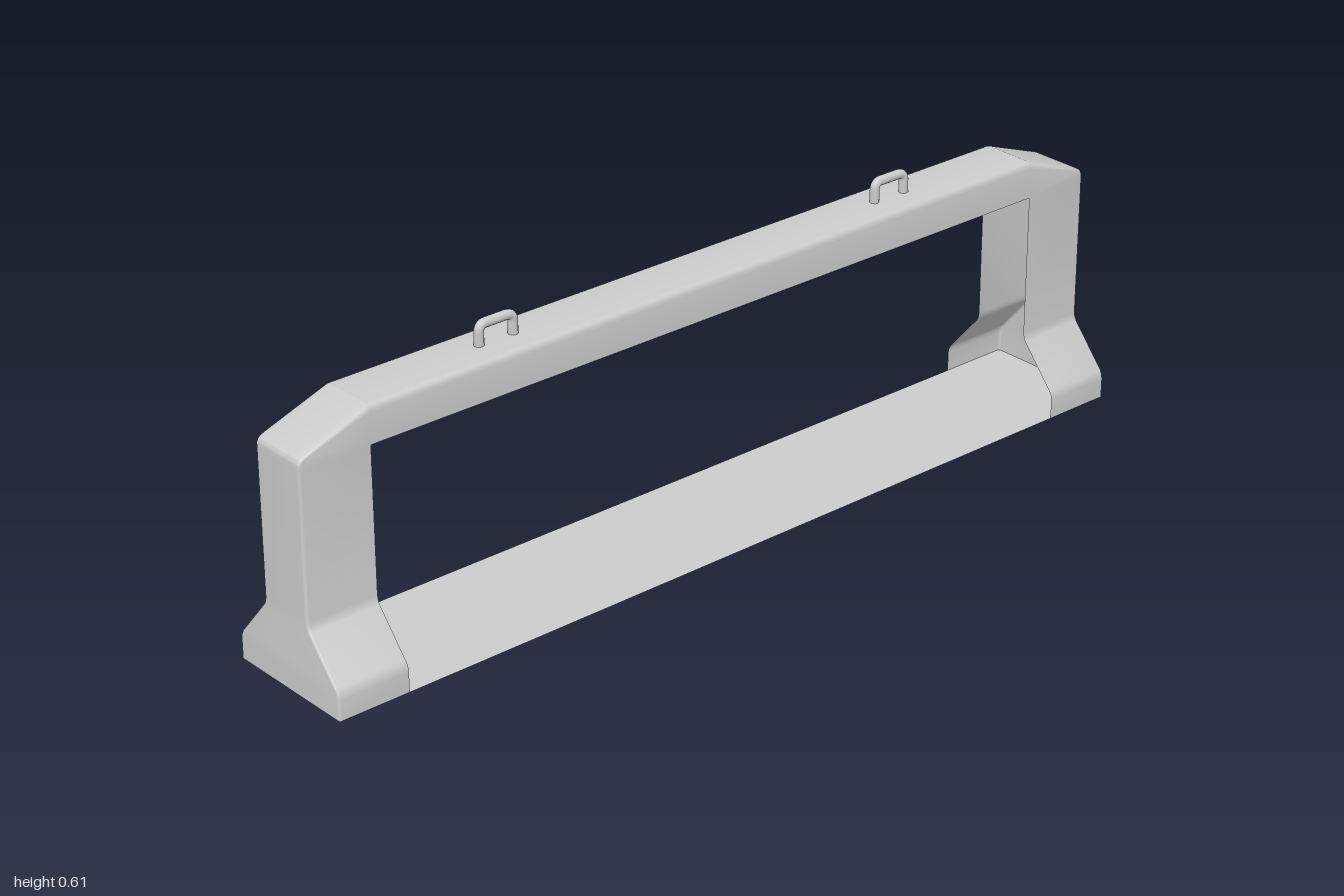
import * as THREE from 'three';
import { toCreasedNormals } from 'three/addons/utils/BufferGeometryUtils.js';

const material = new THREE.MeshStandardMaterial({ color: 0xcccccc, side: THREE.DoubleSide });
const INNER = 0.842, UNDER = 0.474, DEPTH = 0.0655;

// Stations along the left half: outer x/y, inner x/y, half depth, corner radius
function halfStations() {
  const flare = [
    [0, 0.153], [0.042, 0.153], [0.052, 0.1513], [0.06, 0.1475], [0.066, 0.1423],
    [0.143, 0.0765], [0.149, 0.0713], [0.157, 0.0675], [0.167, DEPTH], [UNDER, DEPTH],
  ];
  const shoulder = [[-1, 0.484], [-0.9985, 0.489], [-0.996, 0.493], [-0.992, 0.496], [-0.986, 0.4995]];
  return [
    ...flare.map(([y, d]) => ({ ox: -1, oy: y, ix: -INNER, iy: y, d, r: 0.006 })),
    ...shoulder.map(([x, y], i) => ({ ox: x, oy: y, ix: -INNER, iy: UNDER, d: DEPTH, r: 0.006 + i * 0.0015 })),
    { ox: -INNER, oy: 0.553, ix: -INNER, iy: UNDER, d: DEPTH, r: 0.013 },
  ];
}

// Open channel section running from the front inner edge, over the outside, to the back inner edge
function section({ ox, oy, ix, iy, d, r }) {
  const length = Math.hypot(ox - ix, oy - iy);
  const steps = 6;
  const front = [[0, d]];
  for (let k = 0; k <= steps; k++) {
    const a = (k / steps) * Math.PI / 2;
    front.push([1 - (r / length) * (1 - Math.sin(a)), d - r * (1 - Math.cos(a))]);
  }
  const back = front.map(([s, z]) => [s, -z]).reverse();
  return [...front, ...back].map(([s, z]) => [ix + (ox - ix) * s, iy + (oy - iy) * s, z]);
}

// Hollow frame: two flared legs joined by the top beam
function frameGeometry() {
  const left = halfStations();
  const right = left.map((s) => ({ ...s, ox: -s.ox, ix: -s.ix })).reverse();
  const rows = [...left, ...right].map(section);
  const n = rows[0].length;
  const index = [];
  for (let i = 0; i < rows.length - 1; i++) {
    for (let j = 0; j < n - 1; j++) {
      const a = i * n + j, b = a + n;
      index.push(a, b, a + 1, b, b + 1, a + 1);
    }
  }
  const geometry = new THREE.BufferGeometry();
  geometry.setAttribute('position', new THREE.Float32BufferAttribute(rows.flat(2), 3));
  geometry.setIndex(index);
  return toCreasedNormals(geometry, 0.33);
}

// Lifting handle: a tube bent into a square arch
function handleGeometry() {
  const w = 0.04, top = 0.595, bend = 0.016, base = 0.545;
  const p = (x, y) => new THREE.Vector3(x, y, 0);
  const path = new THREE.CurvePath();
  path.add(new THREE.LineCurve3(p(-w, base), p(-w, top - bend)));
  path.add(new THREE.QuadraticBezierCurve3(p(-w, top - bend), p(-w, top), p(bend - w, top)));
  path.add(new THREE.LineCurve3(p(bend - w, top), p(w - bend, top)));
  path.add(new THREE.QuadraticBezierCurve3(p(w - bend, top), p(w, top), p(w, top - bend)));
  path.add(new THREE.LineCurve3(p(w, top - bend), p(w, base)));
  return new THREE.TubeGeometry(path, 48, 0.01, 12);
}

export function createModel() {
  const model = new THREE.Group();
  model.name = 'portalFrame';
  const add = (name, geometry) => {
    const mesh = new THREE.Mesh(geometry, material);
    mesh.name = name;
    model.add(mesh);
    return mesh;
  };

  add('frame', frameGeometry());

  // Thin floor sheet between the feet
  add('floorSheet', new THREE.PlaneGeometry(2, 0.306).rotateX(-Math.PI / 2));

  const handle = handleGeometry();
  for (const side of [-1, 1]) {
    add(side < 0 ? 'rightHandle' : 'leftHandle', handle).position.x = side * 0.502;
  }
  return model;
}
